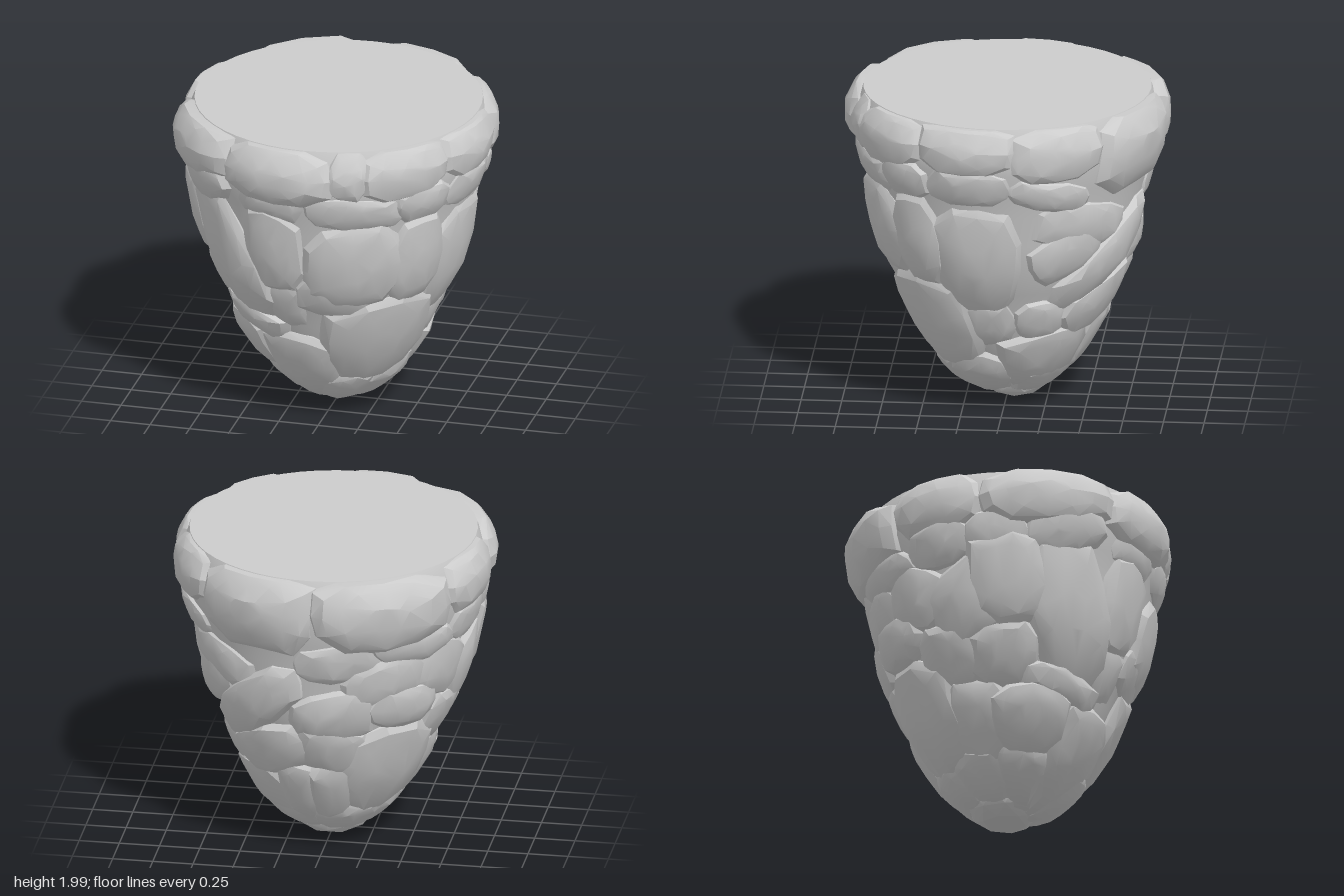
import * as THREE from 'three';
import { ConvexGeometry } from 'three/addons/geometries/ConvexGeometry.js';
import { toCreasedNormals } from 'three/addons/utils/BufferGeometryUtils.js';

// Overall silhouette of the rock: [height, radius]
const PROFILE = [
  [0.02, 0.12], [0.06, 0.2], [0.12, 0.29], [0.25, 0.42], [0.4, 0.51], [0.55, 0.6], [0.7, 0.66],
  [0.85, 0.73], [1, 0.8], [1.2, 0.85], [1.4, 0.89], [1.55, 0.93], [1.7, 0.975], [1.85, 0.985], [2, 0.93],
];

// Stones: [angle from the front in degrees (+x at 90), centre height, half width, half height, tilt, outset]
const RIM_STONES = [
  [-11, 1.82, 0.36, 0.19, 0, 0.015], [18, 1.84, 0.14, 0.17, -15, -0.02], [42, 1.84, 0.3, 0.18, 5, 0.005],
  [78, 1.86, 0.31, 0.17, 0, 0], [114, 1.83, 0.31, 0.19, 8, 0], [157, 1.77, 0.4, 0.27, 0, 0.02],
  [-58, 1.83, 0.43, 0.19, 5, 0.035], [-103, 1.82, 0.33, 0.21, 0, 0], [-151, 1.77, 0.46, 0.25, -4, 0.035],
];
const LEDGE_STONES = [
  [-50, 1.62, 0.29, 0.14, 12, 0.01], [-14, 1.59, 0.27, 0.12, -4, -0.03], [22, 1.57, 0.34, 0.12, -5, -0.02],
  [50, 1.6, 0.2, 0.12, 0, 0], [78, 1.6, 0.29, 0.13, 0, -0.015], [112, 1.54, 0.28, 0.1, -10, -0.01],
  [-78, 1.56, 0.22, 0.14, 0, 0], [-102, 1.55, 0.24, 0.14, 5, -0.005], [-135, 1.5, 0.34, 0.12, -5, 0],
  [-168, 1.43, 0.3, 0.14, 8, -0.015],
];
const SLABS = [
  [-15, 1.26, 0.21, 0.29, 0, -0.005], [-44, 1.12, 0.27, 0.44, 22, 0.015], [22, 1.18, 0.32, 0.29, -4, 0.01],
  [80, 1.07, 0.29, 0.37, 0, 0], [51, 1.18, 0.2, 0.29, 0, 0.005], [130, 1.3, 0.38, 0.16, -8, -0.01],
  [122, 1.13, 0.27, 0.17, 30, 0], [146, 1.03, 0.46, 0.15, 36, 0.02], [-74, 1.3, 0.24, 0.27, 12, 0.03],
  [-92, 1.18, 0.25, 0.24, 25, 0.01], [-118, 1.27, 0.24, 0.2, -15, 0], [-148, 1.28, 0.3, 0.16, 12, 0],
  [-137, 1.07, 0.26, 0.15, -10, 0.01], [-172, 1.02, 0.28, 0.2, 15, 0.005],
];
const LOWER_STONES = [
  [12, 0.93, 0.27, 0.14, -8, -0.015], [-14, 0.84, 0.17, 0.18, 10, -0.03], [40, 0.57, 0.36, 0.31, 8, 0.025],
  [-42, 0.69, 0.3, 0.1, -10, 0.015], [-60, 0.49, 0.25, 0.19, 0, 0.035], [-15, 0.36, 0.27, 0.27, 0, 0.015],
  [115, 0.65, 0.18, 0.14, 0, 0], [82, 0.64, 0.2, 0.17, 0, -0.02], [152, 0.72, 0.3, 0.17, 20, 0.03],
  [-76, 0.85, 0.23, 0.18, 8, 0.005], [-104, 0.88, 0.24, 0.19, -8, 0], [-137, 0.58, 0.34, 0.32, 0, 0.03],
  [-172, 0.78, 0.24, 0.18, -10, 0.015], [125, 0.36, 0.3, 0.21, 10, 0.025], [165, 0.41, 0.13, 0.25, -5, 0.025],
  [-173, 0.42, 0.15, 0.26, 5, 0.025], [-95, 0.48, 0.22, 0.24, 0, 0.005],
];
const BASE_STONES = [
  [66, 0.23, 0.23, 0.15, 12, 0.01], [22, 0.19, 0.2, 0.14, 15, 0.01], [-62, 0.24, 0.21, 0.16, -10, -0.01],
  [140, 0.19, 0.24, 0.13, 0, 0.02], [-110, 0.21, 0.22, 0.15, 0, 0], [-155, 0.2, 0.22, 0.14, 0, 0.02],
];

const rock = new THREE.MeshStandardMaterial({ color: 0xcccccc });

function radiusAt(y) {
  const i = Math.max(1, PROFILE.findIndex(([h]) => h >= y));
  const [y0, r0] = PROFILE[i - 1];
  const [y1, r1] = PROFILE[i];
  return THREE.MathUtils.lerp(r0, r1, (y - y0) / (y1 - y0));
}

let seed = 7;
function random() {
  seed = (seed * 16807) % 2147483647;
  return seed / 2147483647;
}

// A worn stone wrapped over the profile: rings of [outline scale, depth] joined by a convex hull
const RINGS = [[1, -0.2], [1.17, -0.1], [1.1, -0.055], [0.93, -0.018], [0.66, 0], [0.3, 0.008]];
function stone([angle, height, halfWidth, halfHeight, tilt, outset]) {
  const phi0 = THREE.MathUtils.degToRad(angle);
  const turn = THREE.MathUtils.degToRad(tilt);
  const middle = radiusAt(height);
  const sides = 12;
  const points = [];
  const start = random();
  const wobble = Array.from({ length: sides }, () => 0.91 + 0.15 * random());
  for (const [scale, depth] of RINGS) {
    for (let i = 0; i < sides; i++) {
      const a = ((i + start) / sides) * Math.PI * 2;
      const c = Math.cos(a), s = Math.sin(a);
      // rounded-rectangle outline
      const k = scale * wobble[i] / Math.pow(c ** 4 + s ** 4, 0.2);
      const u = c * k * halfWidth, v = s * k * halfHeight;
      const phi = phi0 + (u * Math.cos(turn) - v * Math.sin(turn)) / middle;
      const y = THREE.MathUtils.clamp(height + u * Math.sin(turn) + v * Math.cos(turn), 0.04, 1.985);
      const r = Math.max(0.02, radiusAt(y) + depth + outset + 0.012 * (random() - 0.5));
      points.push(new THREE.Vector3(r * Math.sin(phi), y, r * Math.cos(phi)));
    }
  }
  return new THREE.Mesh(toCreasedNormals(new ConvexGeometry(points), 0.4), rock);
}

export function createModel() {
  const model = new THREE.Group();
  model.name = 'floatingRock';

  // Solid core behind the stones, closed by the flat top
  const outline = PROFILE.map(([y, r]) => new THREE.Vector2(r - 0.045, THREE.MathUtils.clamp(y, 0.05, 1.99)));
  outline.unshift(new THREE.Vector2(0, 0.05));
  outline.push(new THREE.Vector2(0, 1.99));
  const core = new THREE.Mesh(toCreasedNormals(new THREE.LatheGeometry(outline, 48), 0.6), rock);
  core.name = 'coreWithFlatTop';
  model.add(core);

  // Blunt tip stone that touches the ground
  const tip = new THREE.Mesh(toCreasedNormals(new THREE.IcosahedronGeometry(1, 1), 0.4), rock);
  tip.name = 'tipStone';
  tip.scale.set(0.25, 0.14, 0.23);
  tip.position.set(0, 0.14, -0.05);
  model.add(tip);

  // Stone courses from the rim down to the tip
  const courses = { rimStones: RIM_STONES, ledgeStones: LEDGE_STONES, slabs: SLABS, lowerStones: LOWER_STONES, baseStones: BASE_STONES };
  for (const [name, list] of Object.entries(courses)) {
    const course = new THREE.Group();
    course.name = name;
    list.forEach((spec, i) => {
      const mesh = stone(spec);
      mesh.name = `${name}${i + 1}`;
      course.add(mesh);
    });
    model.add(course);
  }
  return model;
}
